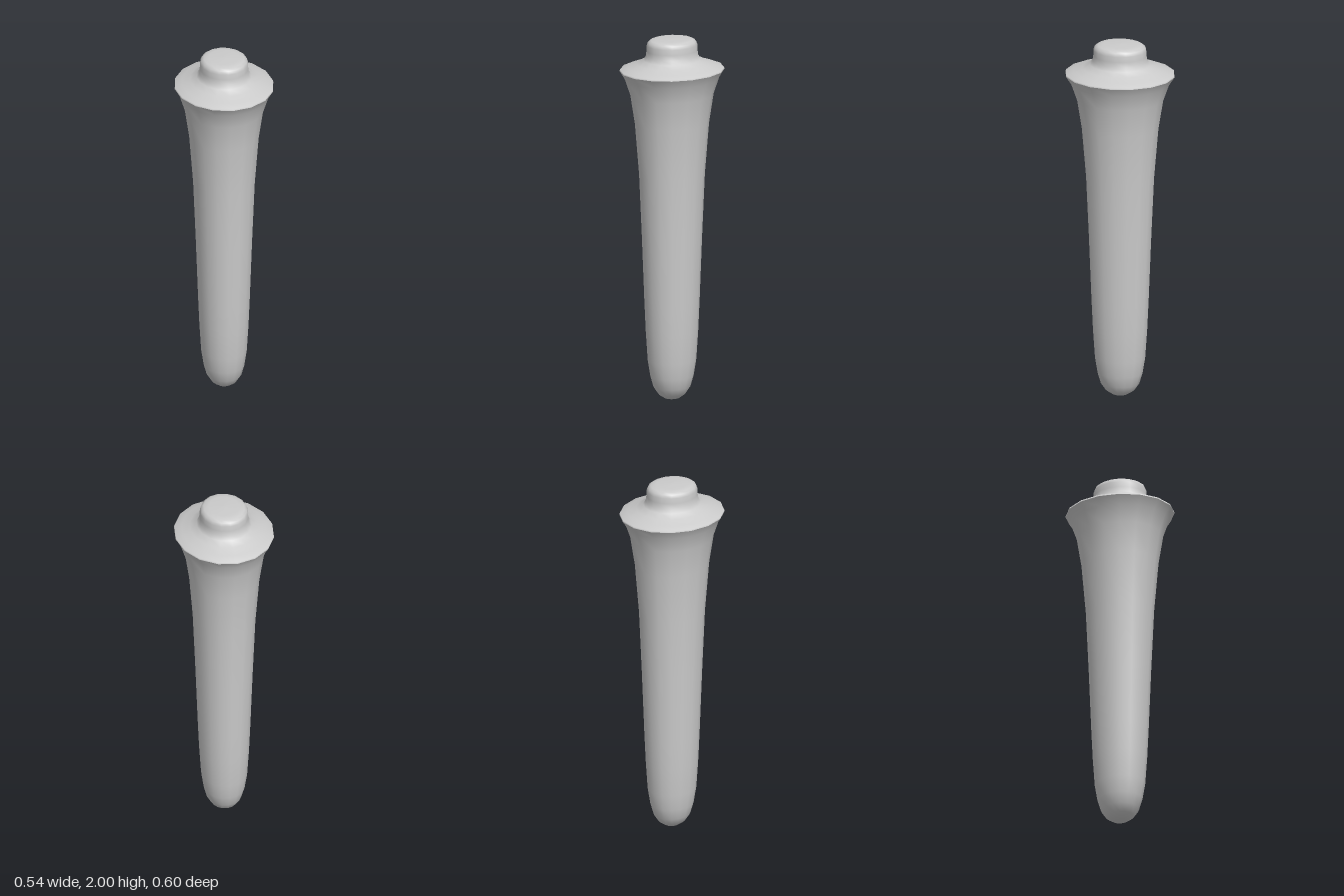
import * as THREE from 'three';

const SIDES = 16;
const WIDTH_RATIO = 0.9; // the cross-section is an ellipse, narrower in x

// Turns a [radius, height] profile (bottom to top) into an elliptical part
function turned(name, profile, material) {
  const points = profile.map(([r, y]) => new THREE.Vector2(r, y));
  const geometry = new THREE.LatheGeometry(points, SIDES);
  geometry.scale(WIDTH_RATIO, 1, 1);
  const mesh = new THREE.Mesh(geometry, material);
  mesh.name = name;
  return mesh;
}

export function createModel() {
  const group = new THREE.Group();
  group.name = 'taperedHandle';
  const grey = new THREE.MeshStandardMaterial({ color: 0xcccccc });

  // Long tapered shaft, rounded at the foot and flaring to the rim
  group.add(turned('shaft', [
    [0, 0], [0.042, 0.007], [0.078, 0.03], [0.106, 0.07], [0.124, 0.13],
    [0.139, 0.22], [0.15, 0.38], [0.158, 0.55], [0.172, 0.9], [0.188, 1.25],
    [0.212, 1.53], [0.238, 1.69], [0.27, 1.78], [0.3, 1.826],
  ], grey));

  // Thin rim and sloping shoulder that sweeps up into the knob
  group.add(turned('shoulderAndKnob', [
    [0.3, 1.826], [0.298, 1.834], [0.255, 1.848], [0.205, 1.866],
    [0.165, 1.885], [0.15, 1.907], [0.146, 1.935], [0.145, 1.965],
    [0.138, 1.983], [0.122, 1.993], [0.09, 1.998], [0, 2],
  ], grey));

  return group;
}
